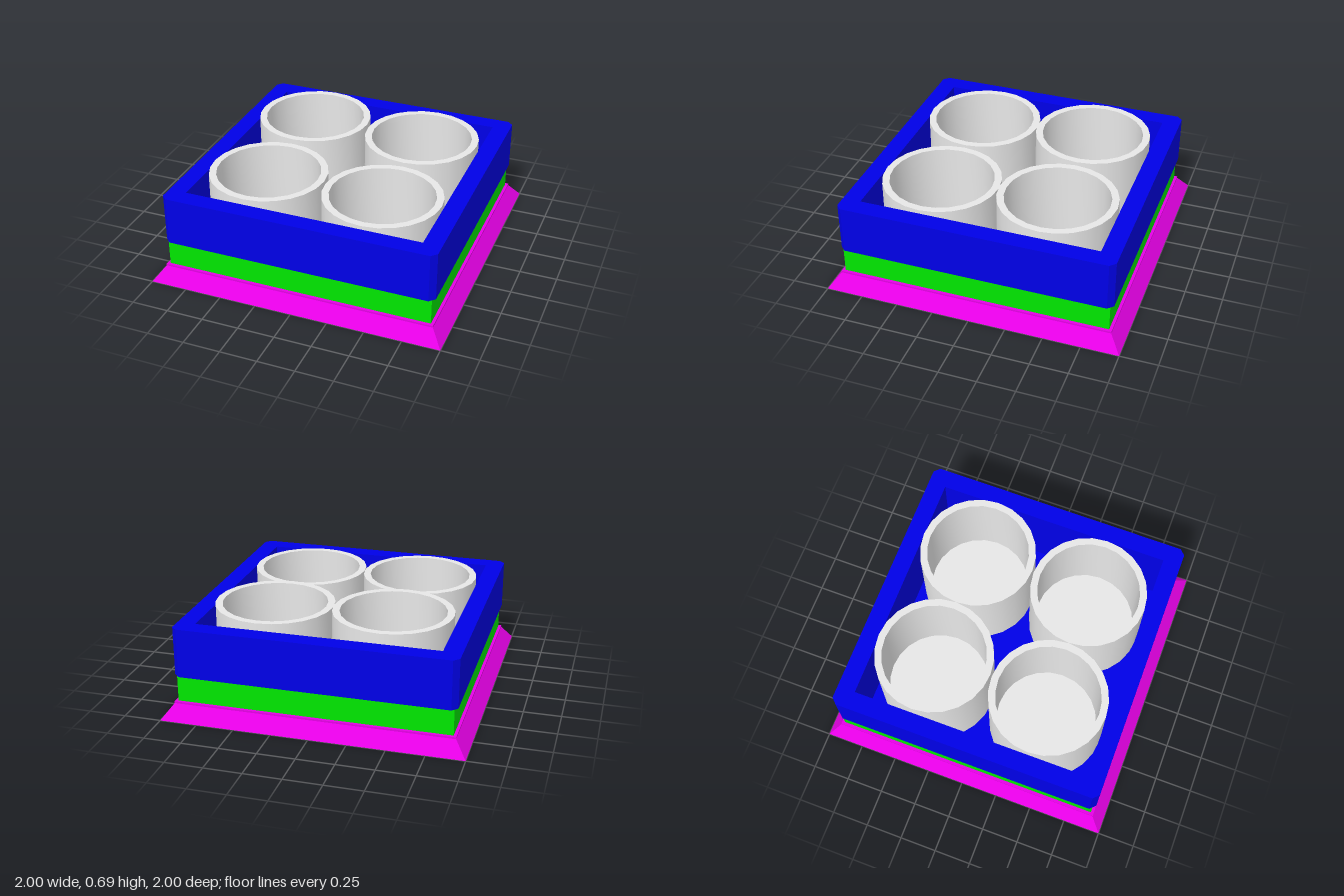
import * as THREE from 'three';
import { toCreasedNormals } from 'three/addons/utils/BufferGeometryUtils.js';

const material = (name, color) => {
  const m = new THREE.MeshStandardMaterial({ color });
  m.name = name;
  return m;
};

// Revolve a [radius, y] profile; four sides give a square ring of that half-width
function ring(profile, sides, crease) {
  const square = sides === 4;
  const k = square ? Math.SQRT2 : 1;
  const points = profile.map(([r, y]) => new THREE.Vector2(r * k, y));
  const geometry = new THREE.LatheGeometry(points, sides, square ? Math.PI / 4 : 0);
  return toCreasedNormals(geometry, crease);
}

// Square with chamfered corners and a square hole, standing upright
function chamferedFrame(half, chamfer, hole, y0, y1) {
  const c = half - chamfer;
  const shape = new THREE.Shape([
    [c, -half], [half, -c], [half, c], [c, half],
    [-c, half], [-half, c], [-half, -c], [-c, -half],
  ].map(([x, y]) => new THREE.Vector2(x, y)));
  shape.holes.push(new THREE.Path([
    [-hole, -hole], [-hole, hole], [hole, hole], [hole, -hole],
  ].map(([x, y]) => new THREE.Vector2(x, y))));
  const geometry = new THREE.ExtrudeGeometry(shape, { depth: y1 - y0, bevelEnabled: false });
  return geometry.rotateX(-Math.PI / 2).translate(0, y0, 0);
}

export function createModel() {
  const model = new THREE.Group();
  model.name = 'cupTray';

  const magenta = material('magenta', 0xe700e7);
  const green = material('green', 0x00e700);
  const blue = material('blue', 0x0000e7);
  const grey = material('pale grey', 0xe7e7e7);

  const add = (name, geometry, mat) => {
    const mesh = new THREE.Mesh(geometry, mat);
    mesh.name = name;
    model.add(mesh);
    return mesh;
  };

  // Flared hollow skirt with a small upright lip
  add('baseSkirt', ring([
    [0.995, 0], [1, 0], [0.925, 0.1], [0.925, 0.112],
    [0.9, 0.112], [0.9, 0.1], [0.92, 0.1], [0.995, 0],
  ], 4, 0.1), magenta);

  // Middle band
  add('middleBand', ring([
    [0.895, 0.1], [0.905, 0.1], [0.905, 0.29], [0.895, 0.29], [0.895, 0.1],
  ], 4, 0.1), green);

  // Upper frame and the sunken tray inside it
  add('upperFrame', chamferedFrame(0.925, 0.037, 0.803, 0.29, 0.62), blue);
  add('sunkenTray', ring([
    [0, 0.055], [0.808, 0.055], [0.808, 0.3], [0.803, 0.3], [0.803, 0.065], [0, 0.065],
  ], 4, 0.1), blue);

  // Four open cups of slightly different heights: x, z, rim height
  const cups = [
    [-0.4, -0.4, 0.685], [0.4, -0.4, 0.665],
    [-0.4, 0.4, 0.655], [0.4, 0.4, 0.64],
  ];
  for (const [x, z, top] of cups) {
    const cup = add('cup', ring([
      [0, 0.066], [0.396, 0.066], [0.396, top], [0.348, top], [0.348, 0.11], [0, 0.11],
    ], 24, 0.6), grey);
    cup.position.set(x, 0, z);
  }

  return model;
}
